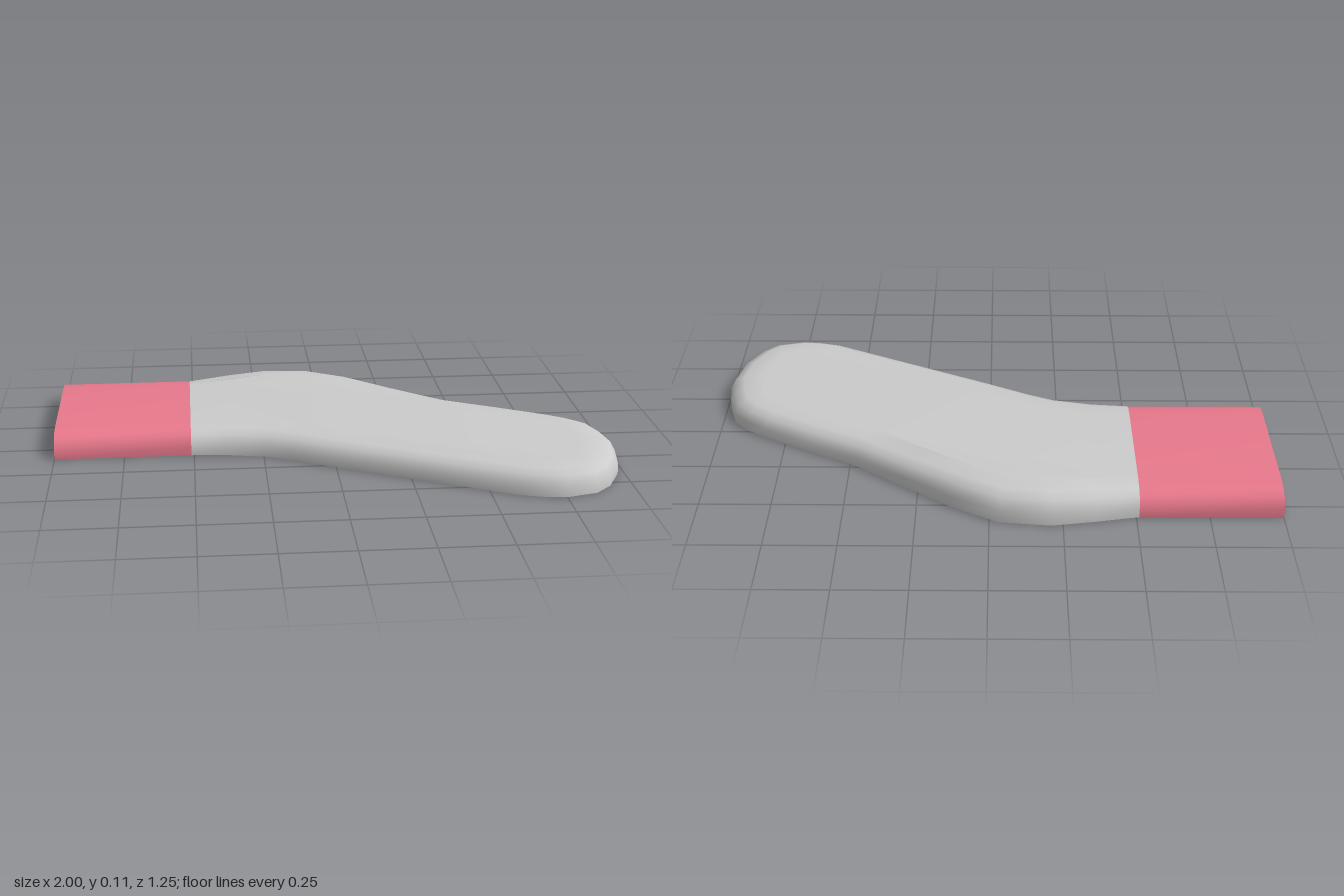
import * as THREE from 'three';
import { toCreasedNormals } from 'three/addons/utils/BufferGeometryUtils.js';

// Rim profile: [inset from the outline, height]
const RIM = [[0, 0], [0, 0.035], [0.02, 0.07], [0.055, 0.084], [0.12, 0.09]];
const SEAM = -0.51, BACK = -0.57, FRONT = 0.1;

// Plan outline (x, z) of the body, from the back of the seam round the tip to the front
const OUTLINE = [
  [SEAM, BACK], [-0.36, -0.6], [-0.21, -0.625], [-0.03, -0.605], [0.13, -0.51],
  [0.3, -0.38], [0.48, -0.24], [0.66, -0.14], [0.83, -0.04], [0.9, 0.01], [0.955, 0.07],
  [0.985, 0.17], [1, 0.28], [0.975, 0.42], [0.92, 0.53], [0.86, 0.59], [0.75, 0.62],
  [0.68, 0.612], [0.6, 0.59], [0.3, 0.43], [0, 0.27], [-0.15, 0.185], [-0.24, 0.14],
  [-0.38, 0.11], [SEAM, FRONT],
];

// Slight swelling of the top along the back bend
function swell(x, z) {
  const along = THREE.MathUtils.smoothstep(x, -0.5, -0.25) * (1 - THREE.MathUtils.smoothstep(x, 0.05, 0.45));
  return 0.018 * along * THREE.MathUtils.clamp((0.2 - z) / 0.6, 0, 1);
}

function bodyGeometry() {
  const n = OUTLINE.length, pos = [], index = [];

  // One inset ring of points per rim step
  RIM.forEach(([inset, h]) => OUTLINE.forEach(([x, z], i) => {
    const p = OUTLINE[Math.max(i - 1, 0)], q = OUTLINE[Math.min(i + 1, n - 1)];
    const out = new THREE.Vector2(q[1] - p[1], p[0] - q[0]).normalize();
    if (i === 0) out.set(0, -1);
    if (i === n - 1) out.set(0, 1);
    const px = x - out.x * inset, pz = z - out.y * inset;
    pos.push(px, h + swell(px, pz) * Math.min(1, h / 0.08), pz);
    if (h === 0) pos[pos.length - 2] = 0;
  }));

  // Walls and rounded rim
  for (let k = 0; k < RIM.length - 1; k++) {
    for (let i = 0; i < n - 1; i++) {
      const a = k * n + i, b = a + 1, c = a + n, d = c + 1;
      index.push(a, c, b, b, c, d);
    }
  }

  // Top and underside
  const cap = (start, up) => {
    const pts = OUTLINE.map((_, i) => new THREE.Vector2(pos[3 * (start + i)], pos[3 * (start + i) + 2]));
    for (const [a, b, c] of THREE.ShapeUtils.triangulateShape(pts, [])) {
      const facesDown = THREE.ShapeUtils.area([pts[a], pts[b], pts[c]]) > 0;
      if (facesDown === up) index.push(start + a, start + c, start + b);
      else index.push(start + a, start + b, start + c);
    }
  };
  cap((RIM.length - 1) * n, true);
  cap(0, false);

  const geo = new THREE.BufferGeometry();
  geo.setAttribute('position', new THREE.Float32BufferAttribute(pos, 3));
  geo.setIndex(index);
  return toCreasedNormals(geo, 0.95);
}

// Straight end: the same rim section swept along x
function endGeometry() {
  const section = [
    ...RIM.map(([d, h]) => new THREE.Vector2(-(FRONT - d), h)),
    ...RIM.slice().reverse().map(([d, h]) => new THREE.Vector2(-(BACK + d), h)),
  ];
  const geo = new THREE.ExtrudeGeometry(new THREE.Shape(section), { depth: SEAM + 1, bevelEnabled: false });
  geo.rotateY(Math.PI / 2);
  geo.translate(-1, 0, 0);
  return toCreasedNormals(geo, 0.95);
}

export function createModel() {
  const group = new THREE.Group();
  group.name = 'bentPad';
  const add = (name, geo, color) => {
    const mesh = new THREE.Mesh(geo, new THREE.MeshStandardMaterial({ color, side: THREE.DoubleSide }));
    mesh.name = name;
    group.add(mesh);
  };
  add('body', bodyGeometry(), 0xcccccc);
  add('colouredEnd', endGeometry(), 0xe8798c);
  return group;
}
